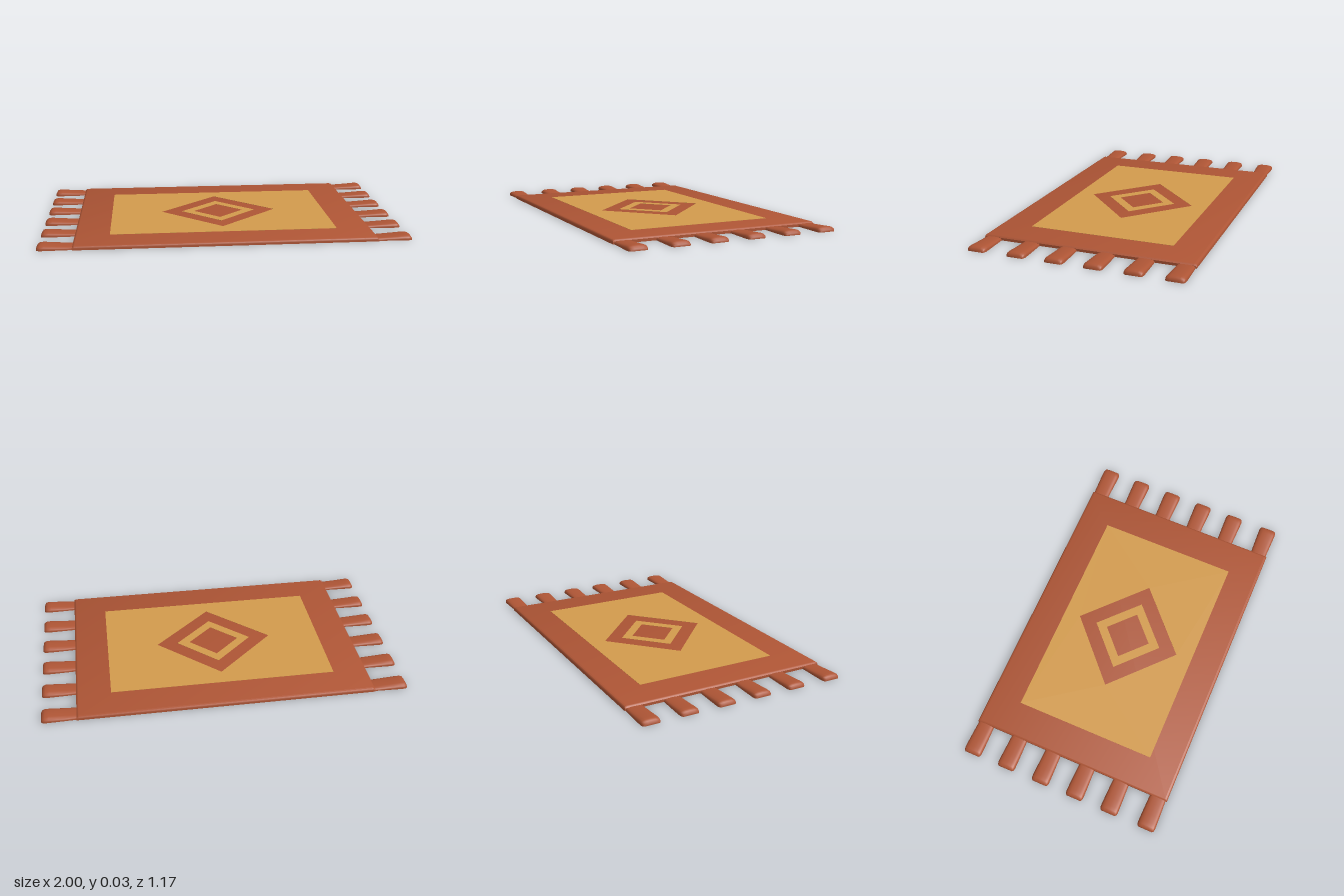
import * as THREE from 'three';
import { toCreasedNormals } from 'three/addons/utils/BufferGeometryUtils.js';

const rust = new THREE.MeshStandardMaterial({ color: 0xae5535 });
rust.name = 'rust wool';
const gold = new THREE.MeshStandardMaterial({ color: 0xd39b4d });
gold.name = 'gold wool';

// Loft along x. Stations are [x, halfWidth, height]; profile is [z, y] in unit
// scale, running from +z over the top to -z with a flat underside.
function loft(stations, profile, crease) {
  const n = profile.length, pos = [], index = [];
  for (const [x, w, h] of stations)
    for (const [z, y] of profile) pos.push(x, y * h, z * w);
  for (let i = 0; i < stations.length - 1; i++)
    for (let j = 0; j < n; j++) {
      const a = i * n + j, b = i * n + (j + 1) % n;
      index.push(a, a + n, b + n, a, b + n, b);
    }
  const last = (stations.length - 1) * n;
  for (let j = 1; j < n - 1; j++) {
    index.push(0, j, j + 1, last, last + j + 1, last + j);
  }
  const geo = new THREE.BufferGeometry();
  geo.setAttribute('position', new THREE.Float32BufferAttribute(pos, 3));
  geo.setIndex(index);
  return toCreasedNormals(geo, crease);
}

const mirrorProfile = half => [...half, ...half.filter(p => p[0] > 0).map(([z, y]) => [-z, y]).reverse()];
const diamond = (x, z) => [[x, 0], [0, z], [-x, 0], [0, -z]].map(p => new THREE.Vector2(...p));
const rectangle = (x, z) => [[x, z], [-x, z], [-x, -z], [x, -z]].map(p => new THREE.Vector2(...p));

// Thin woven panel with an opening, lying on the rug
function panel(name, outline, opening) {
  const shape = new THREE.Shape(outline);
  shape.holes.push(new THREE.Path(opening));
  const geo = new THREE.ExtrudeGeometry(shape, { depth: 0.0015, bevelEnabled: false });
  geo.rotateX(-Math.PI / 2);
  const mesh = new THREE.Mesh(geo, gold);
  mesh.name = name;
  mesh.position.y = 0.0215;
  return mesh;
}

export function createModel() {
  const rug = new THREE.Group();
  rug.name = 'rug';

  // Flat body with softened upper edges
  const bodyProfile = mirrorProfile([[1, 0], [1, 0.45], [0.996, 0.75], [0.988, 0.93], [0.975, 1]]);
  const body = new THREE.Mesh(loft([
    [-0.815, 0.585, 0.014], [-0.811, 0.585, 0.019], [-0.803, 0.585, 0.022],
    [0.803, 0.585, 0.022], [0.811, 0.585, 0.019], [0.815, 0.585, 0.014],
  ], bodyProfile, 0.6), rust);
  body.name = 'rugBody';
  rug.add(body);

  // Gold pattern; the rust body shows through the openings
  rug.add(panel('centreField', rectangle(0.625, 0.405), diamond(0.333, 0.312)));
  rug.add(panel('diamondRing', diamond(0.215, 0.203), diamond(0.143, 0.135)));

  // Domed fringe tassels on both short ends
  const tasselProfile = mirrorProfile([[1, 0], [1, 0.3], [0.94, 0.6], [0.8, 0.82], [0.5, 0.95], [0, 1]]);
  const tasselGeo = loft([
    [0.795, 0.046, 0.014], [0.86, 0.048, 0.018], [0.92, 0.05, 0.022], [0.96, 0.051, 0.0255],
    [0.98, 0.051, 0.0255], [0.993, 0.048, 0.021], [1, 0.041, 0.011],
  ], tasselProfile, 0.9);
  for (const side of [1, -1]) {
    const fringe = new THREE.Group();
    fringe.name = side > 0 ? 'leftFringe' : 'rightFringe';
    for (const z of [-0.533, -0.323, -0.112, 0.098, 0.308, 0.531]) {
      const tassel = new THREE.Mesh(tasselGeo, rust);
      tassel.name = 'tassel';
      tassel.position.z = z;
      if (side < 0) tassel.rotation.y = Math.PI;
      fringe.add(tassel);
    }
    rug.add(fringe);
  }
  return rug;
}
